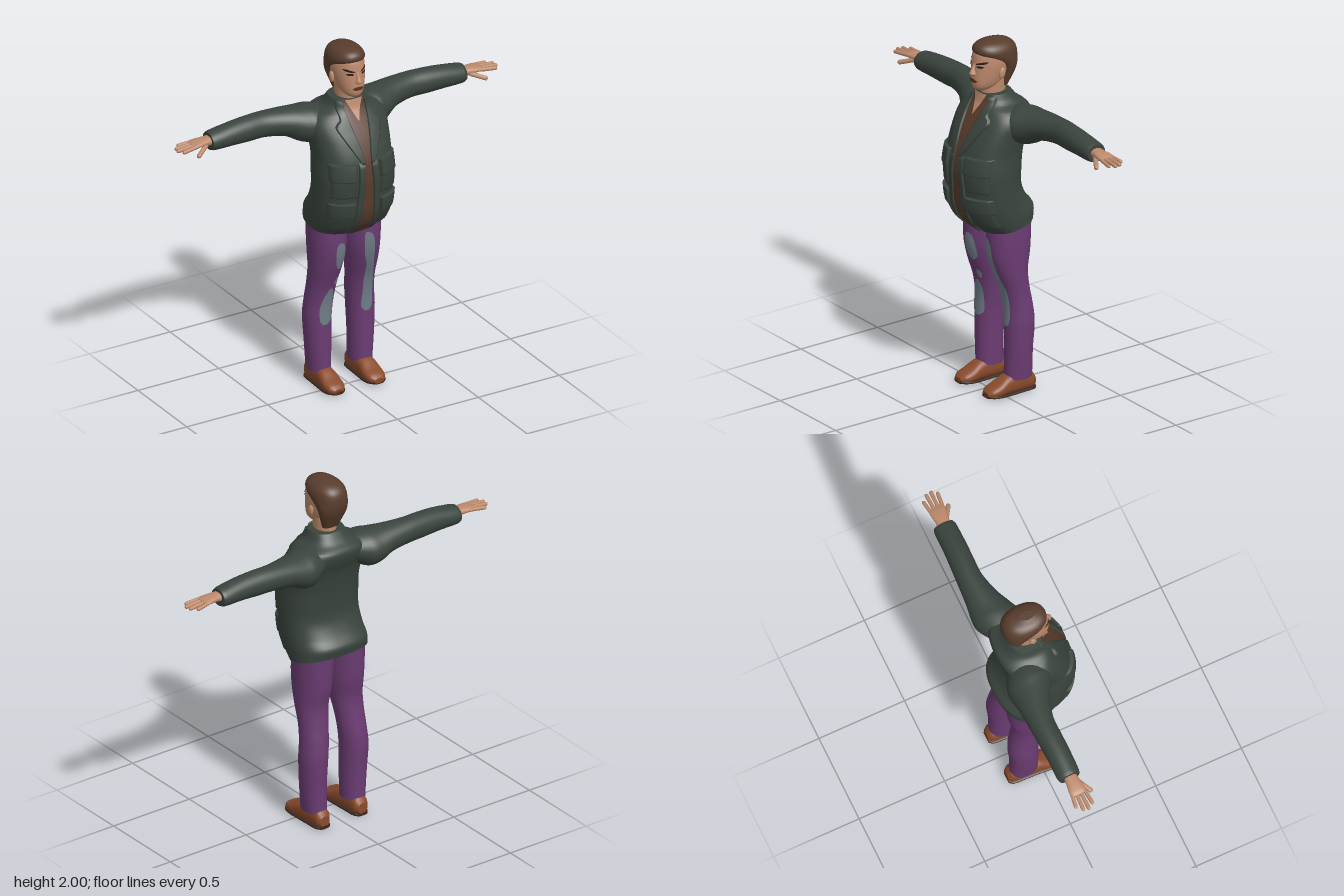
import * as THREE from 'three';

const mat = (name, color, opts = {}) => new THREE.MeshStandardMaterial({ name, color, ...opts });

// Smooth interpolation of rows keyed by their first number
function sample(rows, s) {
  const last = rows.length - 1;
  s = Math.min(Math.max(s, rows[0][0]), rows[last][0]);
  let i = 0;
  while (i < last - 1 && s > rows[i + 1][0]) i++;
  const p = rows[i], q = rows[i + 1], h = q[0] - p[0], t = (s - p[0]) / h;
  const slope = (k, c) => {
    const a = rows[Math.max(k - 1, 0)], b = rows[Math.min(k + 1, last)];
    return (b[c] - a[c]) / (b[0] - a[0]);
  };
  return p.map((v, c) => c === 0 ? s :
    v * (1 + 2 * t) * (1 - t) ** 2 + q[c] * t * t * (3 - 2 * t) +
    h * (slope(i, c) * t * (1 - t) ** 2 + slope(i + 1, c) * t * t * (t - 1)));
}

function build(pos, idx) {
  const g = new THREE.BufferGeometry();
  g.setAttribute('position', new THREE.Float32BufferAttribute(pos, 3));
  g.setIndex(idx);
  g.computeVertexNormals();
  return g;
}

// Axis orders for lofts: s runs along the part, a and b span the section
const UP = (s, a, b) => [a, s, b];
const ALONG_X = (s, a, b) => [s, b, a];
const ALONG_Z = (s, a, b) => [b, a, s];

// Capped loft; each section is [s, centreA, radiusA, centreB, radiusB, tilt]
function loft(rows, axis = UP, n = 2, sides = 36, steps = 4) {
  const pos = [], idx = [], rings = [];
  for (let i = 0; i < rows.length - 1; i++)
    for (let k = 0; k < steps; k++)
      rings.push(rows[i][0] + (rows[i + 1][0] - rows[i][0]) * k / steps);
  rings.push(rows[rows.length - 1][0]);
  const pw = v => Math.sign(v) * Math.abs(v) ** (2 / n);
  const ring = s => {
    const [, ca, ra, cb, rb, tilt = 0] = sample(rows, s);
    for (let j = 0; j < sides; j++) {
      const t = j / sides * Math.PI * 2, db = rb * pw(Math.sin(t));
      pos.push(...axis(s - tilt * db, ca + ra * pw(Math.cos(t)), cb + db));
    }
  };
  rings.forEach(ring);
  for (let i = 0; i < rings.length - 1; i++)
    for (let j = 0; j < sides; j++) {
      const a = i * sides + j, b = i * sides + (j + 1) % sides;
      idx.push(a, a + sides, b + sides, a, b + sides, b);
    }
  for (const [s, top] of [[rings[0], false], [rings[rings.length - 1], true]]) {
    const base = pos.length / 3, r = sample(rows, s);
    ring(s);
    pos.push(...axis(s, r[1], r[3]));
    for (let j = 0; j < sides; j++) {
      const a = base + j, b = base + (j + 1) % sides;
      idx.push(base + sides, top ? b : a, top ? a : b);
    }
  }
  return build(pos, idx);
}

// Front surface height of an upright loft at (x, y)
function frontZ(rows, n, x, y) {
  let s = y, z = 0;
  for (let k = 0; k < 5; k++) {
    const [, cx, rx, cz, rz, tilt = 0] = sample(rows, s);
    const d = Math.min(Math.abs((x - cx) / rx), 1);
    const dz = rz * (1 - d ** n) ** (1 / n);
    z = cz + dz;
    s = y + tilt * dz;
  }
  return z;
}

// Panel laid on the front of a loft; outline rows are [y, x0, x1]
function drape(body, n, outline, h, raised = false) {
  const pos = [], idx = [], N = 14, M = 24;
  const fr = (k, m) => k === 0 ? 0 : k === m ? 1 : 0.03 + 0.94 * (k - 1) / (m - 2);
  const y0 = outline[0][0], y1 = outline[outline.length - 1][0];
  for (let r = 0; r <= M; r++)
    for (let c = 0; c <= N; c++) {
      const y = y0 + (y1 - y0) * fr(r, M), [, a, b] = sample(outline, y);
      const x = a + (b - a) * fr(c, N), edge = r === 0 || r === M || c === 0 || c === N;
      pos.push(x, y, frontZ(body, n, x, y) + (raised && edge ? -0.004 : h));
      if (r < M && c < N) {
        const i = r * (N + 1) + c, j = i + N + 1;
        idx.push(i, i + 1, j + 1, i, j + 1, j);
      }
    }
  return build(pos, idx);
}

function mirror(geo) {
  const g = geo.clone().scale(-1, 1, 1), a = g.index.array;
  for (let i = 0; i < a.length; i += 3) [a[i + 1], a[i + 2]] = [a[i + 2], a[i + 1]];
  return g;
}

// Rounded bar between two points
function bar(p, q, r) {
  const a = new THREE.Vector3(...p), b = new THREE.Vector3(...q), d = b.clone().sub(a);
  const g = new THREE.CapsuleGeometry(r, d.length() - r, 4, 10);
  g.applyQuaternion(new THREE.Quaternion().setFromUnitVectors(new THREE.Vector3(0, 1, 0), d.normalize()));
  return g.translate(...a.add(b).multiplyScalar(0.5).toArray());
}

// Section from height, half width, front z and back z
const sec = (y, w, f, b, tilt = 0) => [y, 0, w, (f + b) / 2, (f - b) / 2, tilt];

export function createModel() {
  const model = new THREE.Group();
  model.name = 'standingMan';
  const two = { side: THREE.DoubleSide };
  const jacket = mat('jacket green', 0x3a443d, two), shirt = mat('shirt brown', 0x5a3c2c, two);
  const cloth = mat('trouser purple', 0x6b3c72), patch = mat('patch grey', 0x6f7d87, two);
  const leather = mat('shoe leather', 0x8a4b2b), rubber = mat('sole brown', 0x3c2820);
  const skin = mat('skin', 0xbd8a6c, two), hairM = mat('hair brown', 0x583d2d);
  const dark = mat('brow dark', 0x2a1b16, two), lip = mat('lip red', 0x5e2f26, two);
  const add = (name, geo, m) => {
    const mesh = new THREE.Mesh(geo, m);
    mesh.name = name;
    model.add(mesh);
  };
  const pair = (name, geo, m) => {
    add(name + 'Left', geo, m);
    add(name + 'Right', mirror(geo), m);
  };

  // Jacket body
  const T = 2.4, torso = [
    sec(0.975, 0.22, 0.085, -0.21, 0.25), sec(1.03, 0.223, 0.145, -0.218, 0.2),
    sec(1.10, 0.223, 0.19, -0.178, 0.08), sec(1.2, 0.222, 0.203, -0.138),
    sec(1.3, 0.222, 0.21, -0.138), sec(1.4, 0.216, 0.195, -0.15),
    sec(1.5, 0.222, 0.155, -0.17), sec(1.58, 0.225, 0.11, -0.2),
    sec(1.63, 0.19, 0.08, -0.2), sec(1.66, 0.125, 0.063, -0.16), sec(1.71, 0.095, 0.05, -0.12)];
  add('jacketBody', loft(torso, UP, T, 56), jacket);
  add('shirtFront', drape(torso, T, [[0.935, -0.045, 0.045], [1.2, -0.03, 0.03], [1.38, -0.019, 0.019],
    [1.5, -0.036, 0.036], [1.6, -0.056, 0.056], [1.7, -0.066, 0.066]], 0.004), shirt);
  add('openNeck', drape(torso, T, [[1.6, -0.002, 0.002], [1.66, -0.028, 0.028], [1.71, -0.052, 0.052]], 0.008), skin);
  pair('jacketEdge', drape(torso, T, [[0.935, 0.045, 0.08], [1.2, 0.03, 0.065], [1.4, 0.019, 0.055]], 0.012, true), jacket);
  pair('lapel', drape(torso, T, [[1.38, 0.017, 0.03], [1.45, 0.024, 0.07], [1.54, 0.042, 0.118],
    [1.59, 0.052, 0.135], [1.61, 0.056, 0.105], [1.66, 0.064, 0.1], [1.705, 0.066, 0.09]], 0.014, true), jacket);

  // Pockets with flaps
  const pocket = (name, x0, x1, y0, y1, h) =>
    pair(name, drape(torso, T, [[y0, x0, x1], [y1, x0, x1]], h, true), jacket);
  pocket('chestPocket', 0.075, 0.195, 1.2, 1.38, 0.012);
  pocket('chestFlap', 0.07, 0.2, 1.3, 1.4, 0.02);
  pocket('hipPocket', 0.08, 0.2, 0.99, 1.13, 0.014);
  pocket('hipFlap', 0.075, 0.205, 1.08, 1.17, 0.022);

  // Sleeves
  pair('sleeve', loft([[0.1, -0.09, 0.09, 1.575, 0.07], [0.19, -0.1, 0.125, 1.557, 0.103],
    [0.25, -0.113, 0.115, 1.559, 0.099], [0.33, -0.13, 0.09, 1.58, 0.079], [0.45, -0.143, 0.07, 1.59, 0.071],
    [0.55, -0.14, 0.067, 1.59, 0.07], [0.65, -0.137, 0.065, 1.588, 0.064], [0.765, -0.137, 0.063, 1.58, 0.054],
    [0.785, -0.137, 0.056, 1.58, 0.048]], ALONG_X), jacket);

  // Hands
  pair('palm', loft([[0.76, -0.135, 0.034, 1.583, 0.028], [0.82, -0.133, 0.039, 1.588, 0.02],
    [0.87, -0.133, 0.046, 1.587, 0.015], [0.895, -0.133, 0.042, 1.584, 0.01]], ALONG_X, 2.3, 24), skin);
  [0.955, 0.985, 0.99, 0.97].forEach((tip, i) => pair('finger' + (i + 1),
    bar([0.87, 1.586, -0.167 + 0.023 * i], [tip - 0.004, 1.577, -0.178 + 0.03 * i], 0.0105), skin));
  pair('thumb', bar([0.81, 1.577, -0.11], [0.89, 1.547, -0.06], 0.013), skin);

  // Trousers
  const leg = [[0.085, 0.127, 0.062, -0.1, 0.08], [0.25, 0.132, 0.07, -0.1, 0.079], [0.4, 0.133, 0.076, -0.105, 0.083],
    [0.5, 0.125, 0.077, -0.1, 0.08], [0.6, 0.118, 0.08, -0.082, 0.081], [0.7, 0.112, 0.088, -0.06, 0.095],
    [0.8, 0.106, 0.097, -0.055, 0.118], [0.9, 0.104, 0.102, -0.055, 0.125], [1.02, 0.1, 0.105, -0.06, 0.125]];
  pair('trouserLeg', loft(leg, UP, 2.1), cloth);

  // Worn patches on the trousers
  add('longPatch', drape(leg, 2.1, [[0.39, 0.115, 0.135], [0.41, 0.095, 0.155], [0.5, 0.098, 0.16], [0.6, 0.095, 0.155],
    [0.7, 0.09, 0.135], [0.76, 0.072, 0.128], [0.88, 0.062, 0.112], [0.905, 0.07, 0.085]], 0.004), patch);
  const worn = (name, rows) => add(name, mirror(drape(leg, 2.1, rows, 0.004)), patch);
  worn('kneePatch', [[0.37, 0.12, 0.145], [0.39, 0.09, 0.16], [0.46, 0.083, 0.163], [0.54, 0.085, 0.14], [0.585, 0.095, 0.115]]);
  worn('smallPatch', [[0.6, 0.075, 0.085], [0.63, 0.066, 0.092], [0.655, 0.075, 0.085]]);
  worn('thighPatch', [[0.715, 0.075, 0.09], [0.74, 0.055, 0.105], [0.8, 0.05, 0.116], [0.86, 0.06, 0.112], [0.88, 0.08, 0.1]]);

  // Shoes
  const shoe = [[-0.198, 0.045, 0.03, 0.125, 0.03], [-0.175, 0.055, 0.05, 0.125, 0.045], [-0.1, 0.062, 0.06, 0.125, 0.049],
    [-0.02, 0.057, 0.053, 0.125, 0.052], [0.04, 0.041, 0.037, 0.125, 0.057], [0.085, 0.033, 0.027, 0.125, 0.05],
    [0.11, 0.028, 0.014, 0.125, 0.028]];
  pair('shoe', loft(shoe, ALONG_Z, 2.4), leather);
  pair('sole', loft(shoe.map(([z, , , x, r]) => [z, 0.01 + Math.max(z, 0) * 0.08, 0.01, x, r * 1.06]), ALONG_Z, 3), rubber);

  // Head and neck
  const head = [sec(1.725, 0.02, 0.068, 0), sec(1.737, 0.04, 0.088, -0.02), sec(1.76, 0.06, 0.1, -0.06),
    sec(1.8, 0.074, 0.102, -0.1), sec(1.85, 0.084, 0.097, -0.12), sec(1.9, 0.087, 0.092, -0.135),
    sec(1.95, 0.078, 0.078, -0.13), sec(1.985, 0.045, 0.03, -0.09)];
  add('head', loft(head, UP, 2.1), skin);
  add('neck', loft([sec(1.6, 0.06, 0.035, -0.1), sec(1.69, 0.057, 0.045, -0.1), sec(1.78, 0.06, 0.045, -0.1)]), skin);
  add('nose', loft([sec(1.818, 0.012, 0.112, 0.07), sec(1.826, 0.019, 0.122, 0.07), sec(1.836, 0.016, 0.122, 0.07),
    sec(1.86, 0.01, 0.109, 0.07), sec(1.885, 0.008, 0.096, 0.07)], UP, 2, 20), skin);
  pair('ear', new THREE.SphereGeometry(1, 16, 12).scale(0.011, 0.032, 0.019).rotateX(-0.2).translate(0.09, 1.83, -0.025), skin);

  // Face details
  pair('brow', drape(head, 2.1, [[1.884, 0.016, 0.032], [1.892, 0.026, 0.062], [1.902, 0.055, 0.072]], 0.004), dark);
  pair('eye', drape(head, 2.1, [[1.866, 0.032, 0.046], [1.872, 0.023, 0.058], [1.878, 0.03, 0.055]], 0.003), dark);
  add('mouth', drape(head, 2.1, [[1.78, -0.018, 0.018], [1.79, -0.034, 0.034], [1.801, -0.012, 0.012]], 0.005), lip);

  // Hair
  add('hair', loft([sec(1.735, 0.05, -0.05, -0.105), sec(1.78, 0.066, -0.05, -0.127), sec(1.83, 0.082, -0.045, -0.15),
    sec(1.87, 0.09, -0.015, -0.162), sec(1.9, 0.094, 0.035, -0.165), sec(1.935, 0.095, 0.082, -0.162),
    sec(1.965, 0.085, 0.085, -0.148), sec(1.988, 0.06, 0.062, -0.115), sec(2.0, 0.025, 0.02, -0.06)], UP, 2.2, 40), hairM);
  return model;
}
